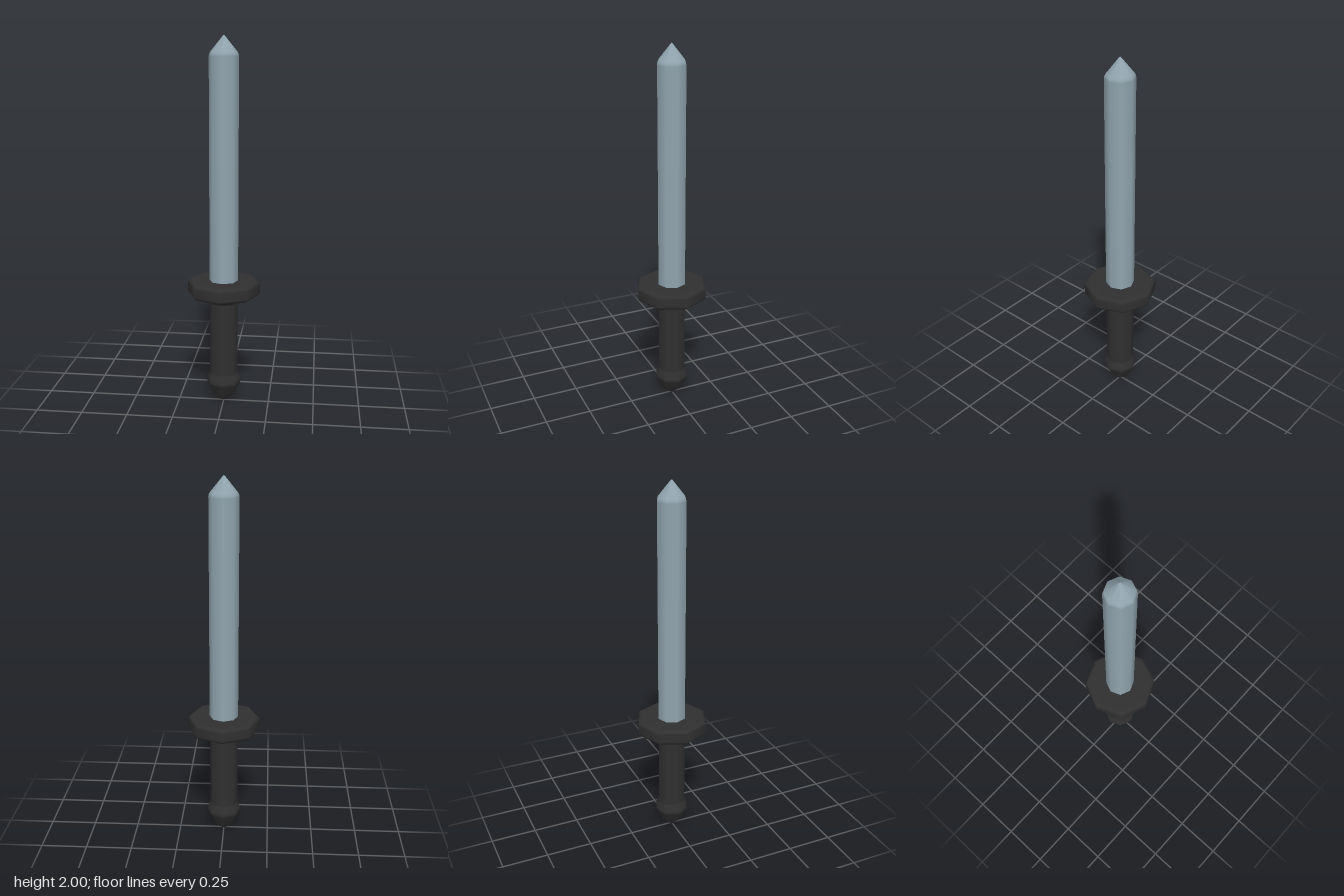
import * as THREE from 'three';

const SIDES = 8;

export function createModel() {
  const group = new THREE.Group();
  const steel = new THREE.MeshStandardMaterial({ color: 0x90a4ae });
  steel.name = 'steel';
  const black = new THREE.MeshStandardMaterial({ color: 0x303030 });
  black.name = 'black';

  // Eight-sided turned part; profile is [radius, y] from bottom to top
  const turned = (name, material, profile) => {
    const points = profile.map(([r, y]) => new THREE.Vector2(r, y));
    const mesh = new THREE.Mesh(new THREE.LatheGeometry(points, SIDES), material);
    mesh.name = name;
    group.add(mesh);
  };

  // Pommel with a blunt point
  turned('pommel', black, [
    [0, 0], [0.025, 0.012], [0.055, 0.04], [0.091, 0.11],
    [0.094, 0.12], [0.092, 0.134], [0.078, 0.17],
  ]);

  // Grip
  turned('grip', black, [[0.077, 0.165], [0.077, 0.595]]);

  // Collar below the guard
  turned('collar', black, [
    [0.077, 0.578], [0.09, 0.59], [0.095, 0.602], [0.09, 0.613], [0.08, 0.625],
  ]);

  // Bevelled octagonal guard
  turned('guard', black, [
    [0, 0.62], [0.172, 0.62], [0.184, 0.621], [0.194, 0.629], [0.197, 0.638],
    [0.197, 0.684], [0.194, 0.693], [0.184, 0.701], [0.172, 0.702], [0, 0.702],
  ]);

  // Blade shaft, softened shoulder and point
  turned('blade', steel, [
    [0.078, 0.69], [0.078, 1.895], [0.076, 1.905], [0.07, 1.917],
    [0.008, 1.993], [0, 2],
  ]);

  return group;
}
